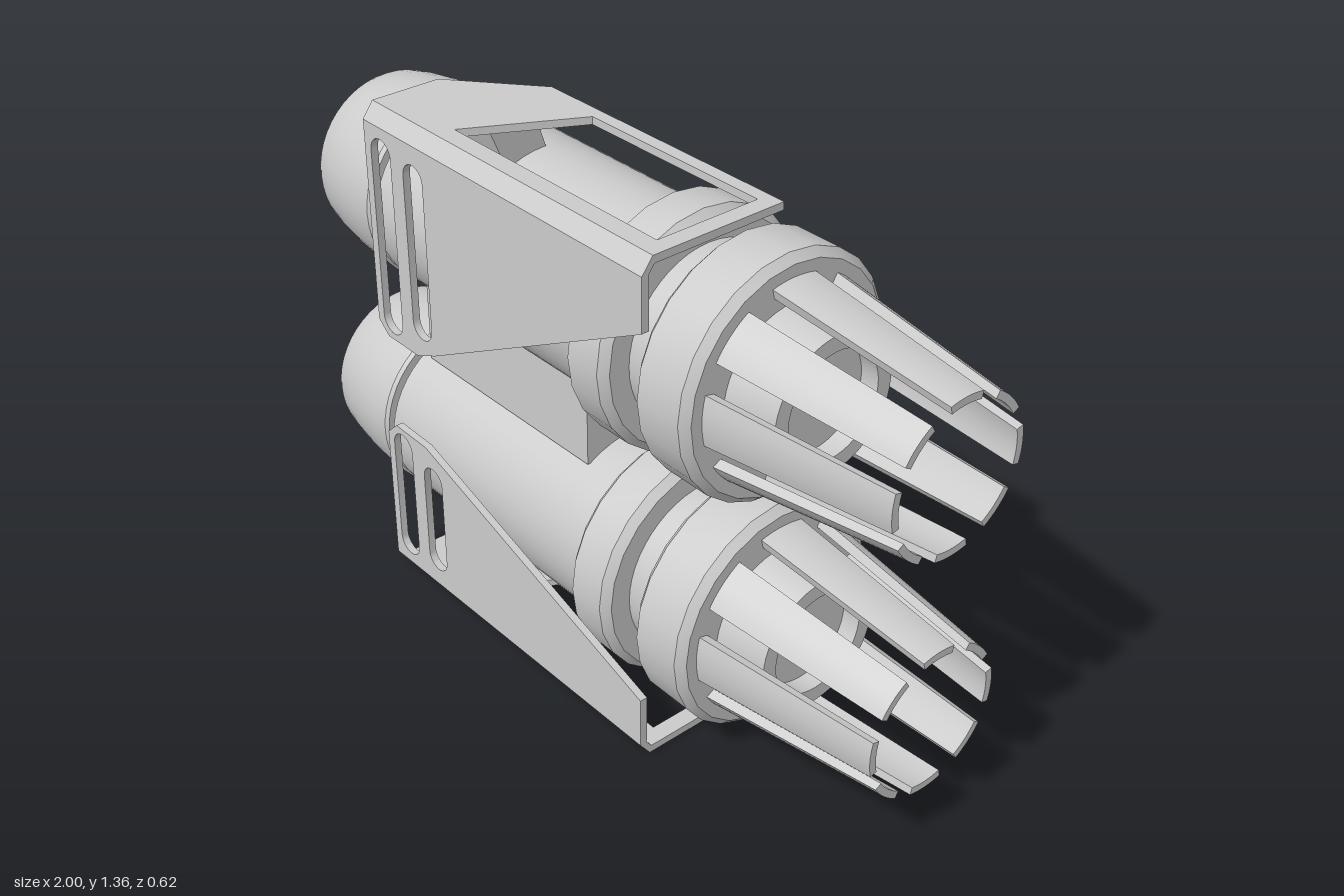
import * as THREE from 'three';
import { toCreasedNormals } from 'three/addons/utils/BufferGeometryUtils.js';

const AXIS_Z = -0.005;
const material = new THREE.MeshStandardMaterial({ color: 0xcccccc });

function mesh(name, geometry) {
  const m = new THREE.Mesh(geometry, material);
  m.name = name;
  return m;
}

// Revolve [x, radius] pairs around the x axis
function turned(name, profile, sides) {
  const points = profile.map(([x, r]) => new THREE.Vector2(r, x));
  const g = new THREE.LatheGeometry(points, sides).rotateZ(-Math.PI / 2);
  return mesh(name, toCreasedNormals(g, 0.5));
}

function polygon(points) {
  return new THREE.Shape(points.map(([a, b]) => new THREE.Vector2(a, b)));
}

// Extrude a [z, y] cross-section along x
function barAlongX(name, section, x0, x1) {
  const g = new THREE.ExtrudeGeometry(polygon(section.map(([z, y]) => [-z, y])),
    { depth: x1 - x0, bevelEnabled: false });
  return mesh(name, g.rotateY(Math.PI / 2).translate(x0, 0, 0));
}

// Ring with chamfered rims
function ring(name, x0, x1, r, inner) {
  const c = 0.02;
  return turned(name, [[x0, inner], [x0, r - c], [x0 + c, r], [x1 - c, r], [x1, r - c], [x1, inner]], 24);
}

// Curved wedge that narrows towards its tip
function fingerGeometry() {
  const half = 0.25, length = 0.5, outer = 0.257, inner = 0.232;
  const shape = new THREE.Shape();
  shape.absarc(0, 0, outer, -half, half, false);
  shape.absarc(0, 0, inner, half, -half, true);
  const g = new THREE.ExtrudeGeometry(shape, { depth: length, bevelEnabled: false, curveSegments: 4 });
  const p = g.attributes.position;
  for (let i = 0; i < p.count; i++) {
    const s = 1 - 0.24 * p.getZ(i) / length;
    p.setXY(i, p.getX(i) * s, p.getY(i) * s);
  }
  return toCreasedNormals(g.rotateY(Math.PI / 2).translate(0.5, 0, 0), 0.4);
}

function createBarrel(y) {
  const barrel = new THREE.Group();
  barrel.name = 'barrel';
  barrel.position.set(0, y, AXIS_Z);
  barrel.add(
    // hollow rear cap, then groove, body and neck
    turned('rearCap', [[-0.9, 0], [-0.9, 0.145], [-0.94, 0.145], [-0.94, 0.17], [-1, 0.185], [-1, 0.22],
      [-0.985, 0.227], [-0.93, 0.239], [-0.86, 0.249], [-0.79, 0.255], [-0.73, 0.257], [-0.72, 0.25], [-0.72, 0.2]], 48),
    turned('body', [[-0.73, 0.205], [-0.695, 0.205], [-0.695, 0.252], [0.085, 0.252], [0.085, 0.23], [0.36, 0.23]], 48),
    ring('frontRing', 0.11, 0.25, 0.306, 0.22),
    ring('flange', 0.345, 0.515, 0.306, 0.1),
    turned('core', [[0.51, 0.195], [0.65, 0.175], [0.65, 0.135], [0.6, 0.135], [0.6, 0]], 48),
  );
  const geometry = fingerGeometry();
  for (let i = 0; i < 8; i++) {
    const finger = mesh('finger', geometry);
    finger.rotation.x = i * Math.PI / 4;
    barrel.add(finger);
  }
  return barrel;
}

// Upright slot with round ends
function slot(x0, x1, y0, y1) {
  const r = (x1 - x0) / 2, cx = (x0 + x1) / 2;
  const path = new THREE.Path();
  path.absarc(cx, y1 - r, r, 0, Math.PI, false);
  path.absarc(cx, y0 + r, r, Math.PI, Math.PI * 2, false);
  path.closePath();
  return path;
}

// outer: y of the flat plate's outer face; dir: direction towards the barrel
function createBracket(name, outer, dir, axisY, face, slots) {
  const bracket = new THREE.Group();
  bracket.name = name;
  const Y = v => outer + dir * v;

  // slotted front plate
  const front = polygon(face.map(([x, v]) => [x, Y(v)]));
  for (const [x0, x1, a, b] of slots) {
    front.holes.push(slot(x0, x1, Math.min(Y(a), Y(b)), Math.max(Y(a), Y(b))));
  }
  const frontGeometry = new THREE.ExtrudeGeometry(front, { depth: 0.02, bevelEnabled: false, curveSegments: 8 });
  bracket.add(mesh('frontPlate', toCreasedNormals(frontGeometry.translate(0, 0, 0.29), 0.5)));

  // flat plate with a window
  const flat = polygon([[-0.62, 0.28], [-0.62, 0.09], [-0.405, -0.09], [0.39, -0.09], [0.39, 0.28]]);
  flat.holes.push(polygon([[-0.36, 0.23], [-0.21, -0.055], [0.345, -0.055], [0.345, 0.23]]));
  const flatGeometry = new THREE.ExtrudeGeometry(flat, { depth: 0.02, bevelEnabled: false });
  bracket.add(mesh('flatPlate', flatGeometry.rotateX(Math.PI / 2).translate(0, Math.max(Y(0), Y(0.02)), 0)));

  // chamfered corner joining both plates
  bracket.add(barAlongX('corner',
    [[0.28, Y(0)], [0.31, Y(0.04)], [0.29, Y(0.04)], [0.275, Y(0.02)]], -0.62, 0.39));

  // leaning post down to the barrel
  const foot = axisY - dir * 0.22;
  bracket.add(barAlongX('post',
    [[0.155, Y(0.015)], [0.02, Y(0.015)], [-0.02, foot], [0.105, foot]], -0.49, -0.33));
  return bracket;
}

export function createModel() {
  const model = new THREE.Group();
  model.name = 'twinBarrels';
  model.add(createBarrel(1.0), createBarrel(0.352));
  model.add(createBracket('upperBracket', 1.355, -1, 1.0,
    [[-0.62, 0.04], [0.39, 0.04], [0.39, 0.175], [-0.38, 0.585], [-0.455, 0.618], [-0.58, 0.618], [-0.62, 0.585]],
    [[-0.595, -0.515, 0.07, 0.6], [-0.465, -0.388, 0.09, 0.56]]));
  model.add(createBracket('lowerBracket', 0, 1, 0.352,
    [[-0.62, 0.04], [0.39, 0.04], [0.39, 0.18], [-0.45, 0.465], [-0.58, 0.468], [-0.62, 0.43]],
    [[-0.595, -0.515, 0.07, 0.45], [-0.465, -0.388, 0.09, 0.41]]));

  // block between the barrels
  const block = mesh('connector', new THREE.BoxGeometry(0.65, 0.22, 0.155));
  block.position.set(-0.335, 0.676, 0.058);
  model.add(block);
  return model;
}
